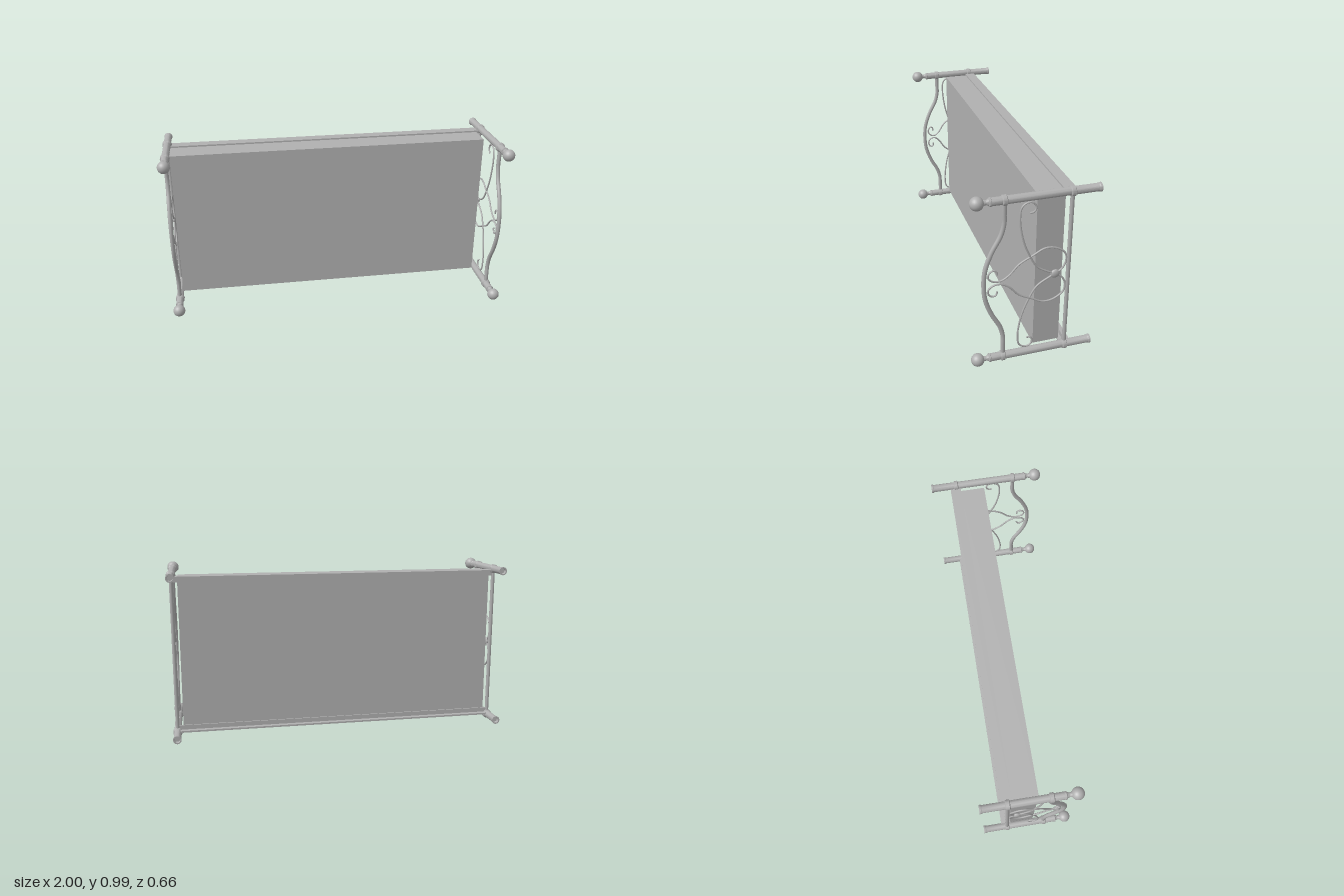
import * as THREE from 'three';
import { toCreasedNormals } from 'three/addons/utils/BufferGeometryUtils.js';

const grey = new THREE.MeshStandardMaterial({ color: 0xb0b0b0 });

const MID = 0.495;          // middle of the bed's width (along y)
const HALF = 0.459;         // post distance from the middle
const HEAD_X = 0.952, FOOT_X = -0.966;
const LOW_Z = -0.142;       // lower cross bars

function add(parent, name, geometry, x = 0, y = 0, z = 0) {
  const mesh = new THREE.Mesh(geometry, grey);
  mesh.name = name;
  mesh.position.set(x, y, z);
  parent.add(mesh);
  return mesh;
}

// Round bar through [z, y] points in the plane of a bed end
function bar(points, radius, segments, sides = 8) {
  const curve = new THREE.CatmullRomCurve3(points.map(([z, y]) => new THREE.Vector3(0, y, z)));
  return new THREE.TubeGeometry(curve, segments, radius, sides);
}

// Turned post with hollow foot, two rings and a neck; axis runs along z
function postGeometry(top) {
  const ring = (z) => [[0.021, z - 0.013], [0.027, z - 0.009], [0.027, z + 0.009], [0.021, z + 0.013]];
  const profile = [
    [0, -0.27], [0.015, -0.27], [0.017, -0.289], [0.024, -0.289], [0.024, -0.28], [0.021, -0.275],
    ...ring(LOW_Z), ...ring(top),
    [0.021, top + 0.066], [0.023, top + 0.068], [0.023, top + 0.075], [0.017, top + 0.078],
    [0.012, top + 0.09], [0.015, top + 0.105], [0, top + 0.115],
  ].map(([r, z]) => new THREE.Vector2(r, z));
  return toCreasedNormals(new THREE.LatheGeometry(profile, 20).rotateX(Math.PI / 2), 0.6);
}

// Scrollwork paths: [z, distance from the middle]
const sideScroll = [
  [0.071, 0.37], [0.048, 0.375], [0.04, 0.4], [0.056, 0.425], [0.087, 0.427], [0.113, 0.406],
  [0.121, 0.349], [0.115, 0.284], [0.097, 0.206], [0.066, 0.128], [0.024, 0.057], [-0.036, 0.018], [-0.072, 0],
];
const loopScroll = [
  [-0.072, 0], [-0.106, 0.023], [-0.127, 0.063], [-0.121, 0.115], [-0.067, 0.154], [-0.012, 0.159],
  [0.05, 0.128], [0.121, 0.089], [0.17, 0.036], [0.212, 0.01], [0.248, 0.01], [0.277, 0.029],
  [0.28, 0.055], [0.259, 0.076], [0.238, 0.07], [0.233, 0.047],
];

// One bed end: posts, arched top bar, lower bar and scrolls
function bedEnd(name, x, top, squash) {
  const end = new THREE.Group();
  end.name = name;
  end.position.set(x, MID, 0);

  const post = postGeometry(top);
  for (const s of [-1, 1]) {
    add(end, 'post', post, 0, s * HALF, 0);
    add(end, 'ballFinial', new THREE.SphereGeometry(0.035, 20, 14), 0, s * HALF, top + 0.135);
  }

  const half = [[0, HALF], [0, 0.385], [0, 0.335], [0.016, 0.27], [0.0625, 0.18], [0.094, 0.088]];
  const arch = [...half, [0.102, 0], ...half.slice().reverse().map(([z, y]) => [z, -y])];
  add(end, 'archedTopBar', bar(arch.map(([z, y]) => [z + top, y]), 0.012, 48, 12));
  add(end, 'lowerBar', new THREE.CylinderGeometry(0.011, 0.011, 2 * HALF, 12), 0, 0, LOW_Z);

  const fit = (z) => (z + 0.127) * squash - 0.127;
  for (const s of [-1, 1]) {
    const place = ([z, y]) => [fit(z), s * y];
    add(end, 'sideScroll', bar(sideScroll.map(place), 0.005, 40));
    add(end, 'loopScroll', bar(loopScroll.map(place), 0.005, 50));
  }
  const hub = add(end, 'scrollHub', new THREE.SphereGeometry(0.024, 16, 12), 0, 0, fit(-0.072));
  hub.scale.x = 0.5;
  return end;
}

export function createModel() {
  const model = new THREE.Group();
  model.name = 'bed';

  // The bed lies on its side and is turned slightly
  const bed = new THREE.Group();
  bed.name = 'bedOnSide';
  bed.rotation.y = 0.042;
  model.add(bed);

  bed.add(bedEnd('headboard', HEAD_X, 0.201, 1));
  bed.add(bedEnd('footboard', FOOT_X, 0.088, 0.71));

  // Mattress
  add(bed, 'mattress', new THREE.BoxGeometry(1.865, 0.892, 0.145), -0.0145, MID, -0.0495);

  // Angle-iron side rails: an upright web and an inward ledge
  const length = HEAD_X - FOOT_X, cx = (HEAD_X + FOOT_X) / 2;
  for (const s of [-1, 1]) {
    add(bed, 'railWeb', new THREE.BoxGeometry(length, 0.01, 0.06), cx, MID + s * 0.45, -0.147);
    add(bed, 'railLedge', new THREE.BoxGeometry(length, 0.03, 0.008), cx, MID + s * 0.434, -0.144);
  }
  return model;
}
